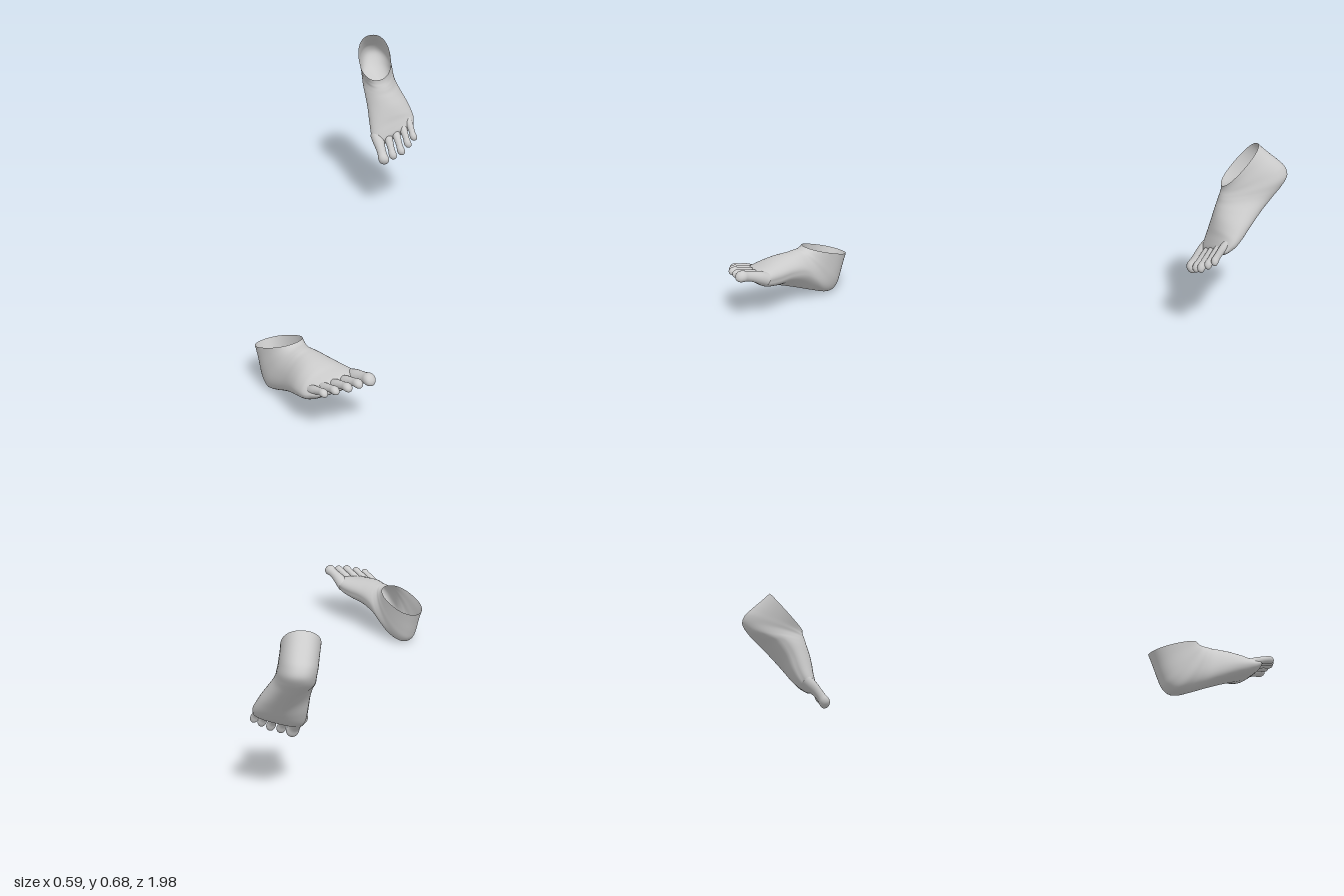
import * as THREE from 'three';

const material = new THREE.MeshStandardMaterial({ color: 0xcccccc, side: THREE.DoubleSide });

// Smooth skin over closed rings; point(s, angle) gives [x, y, z] for s from 0 to 1
function loft(point, rings, sides, mirror) {
  const pos = [], index = [];
  for (let i = 0; i <= rings; i++)
    for (let j = 0; j < sides; j++) {
      const [x, y, z] = point(i / rings, (j / sides) * Math.PI * 2);
      pos.push(x * mirror, y, z);
    }
  for (let i = 0; i < rings; i++)
    for (let j = 0; j < sides; j++) {
      const a = i * sides + j, b = i * sides + ((j + 1) % sides);
      const c = a + sides, d = b + sides;
      if (mirror > 0) index.push(a, c, b, b, c, d);
      else index.push(a, b, c, b, d, c);
    }
  const g = new THREE.BufferGeometry();
  g.setAttribute('position', new THREE.Float32BufferAttribute(pos, 3));
  g.setIndex(index);
  g.computeVertexNormals();
  return g;
}

// Smooth interpolation of all columns of a table of stations
function sample(table, s) {
  const n = table.length - 1, f = s * n, i = Math.min(Math.floor(f), n - 1), t = f - i;
  const row = (k) => table[Math.max(0, Math.min(n, k))];
  return table[0].map((_, c) => {
    const p0 = row(i - 1)[c], p1 = row(i)[c], p2 = row(i + 1)[c], p3 = row(i + 2)[c];
    return p1 + 0.5 * t * (p2 - p0 + t * (2 * p0 - 5 * p1 + 4 * p2 - p3 + t * (3 * (p1 - p2) + p3 - p0)));
  });
}

// Sections that swing from the ankle opening round the heel to the ball:
// sole z, sole y, instep z, instep y, half width, centre x, skew, arch
const sections = [
  [0.000, 0.163, 0.192, 0.163, 0.063, -0.006, 0, 0],
  [0.000, 0.120, 0.198, 0.158, 0.062, -0.005, 0, 0],
  [-0.002, 0.070, 0.206, 0.153, 0.062, -0.003, 0, 0],
  [0.000, 0.035, 0.214, 0.150, 0.062, -0.002, 0, 0],
  [0.018, 0.008, 0.222, 0.147, 0.062, 0.000, 0, 0],
  [0.060, 0.000, 0.232, 0.143, 0.063, 0.000, 0, 0],
  [0.110, 0.001, 0.245, 0.137, 0.066, 0.002, 0, 0.012],
  [0.170, 0.004, 0.265, 0.129, 0.072, 0.010, 0, 0.024],
  [0.240, 0.005, 0.295, 0.115, 0.080, 0.021, -0.05, 0.022],
  [0.300, 0.004, 0.325, 0.099, 0.086, 0.027, -0.15, 0.008],
  [0.342, 0.006, 0.350, 0.084, 0.088, 0.029, -0.28, 0],
  [0.370, 0.012, 0.372, 0.072, 0.084, 0.031, -0.36, 0],
  [0.390, 0.020, 0.390, 0.060, 0.076, 0.034, -0.40, 0],
  [0.397, 0.034, 0.397, 0.046, 0.062, 0.034, -0.40, 0],
  [0.398, 0.040, 0.398, 0.040, 0.045, 0.034, -0.40, 0],
];

function bodyPoint(s, angle) {
  const [pz, py, dz, dy, half, cx, skew, arch] = sample(sections, s);
  const power = (v) => Math.sign(v) * Math.abs(v) ** 0.9;
  const c = power(Math.cos(angle)), n = power(Math.sin(angle));
  const front = THREE.MathUtils.smoothstep(s, 0.35, 0.65);
  const t = 0.5 + 0.5 * c - 0.12 * front * n * n;
  const w = half * n;
  const crest = -0.018 * front * Math.max(0, c) * (half / 0.085);
  const lift = arch * Math.max(0, -n) * (1 - t) * 1.5;
  return [cx + w + crest, py + (dy - py) * t + lift, pz + (dz - pz) * t + skew * w];
}

// Toes from big to little: root x, root z, tip x, tip z, radius
const toes = [
  [-0.041, 0.375, -0.025, 0.480, 0.0205],
  [0.001, 0.375, 0.0125, 0.471, 0.0150],
  [0.033, 0.365, 0.048, 0.459, 0.0147],
  [0.064, 0.345, 0.079, 0.433, 0.0140],
  [0.091, 0.325, 0.106, 0.408, 0.0135],
];
// Toe profile: position along the toe, relative radius
const toeProfile = [
  [0, 1.2], [0.25, 1.12], [0.5, 0.93], [0.68, 0.9], [0.82, 1.03], [0.92, 0.9], [0.98, 0.5], [1, 0],
];

function toePoint([rx, rz, tx, tz, r], s, angle) {
  const [t, k] = sample(toeProfile, s);
  const radius = Math.max(0, k) * r;
  const bend = 0.006 * Math.sin(Math.PI * t);
  return [
    THREE.MathUtils.lerp(rx, tx, t) + radius * Math.sin(angle),
    0.041 - 0.004 * t + bend + radius * Math.cos(angle),
    THREE.MathUtils.lerp(rz, tz + r, t),
  ];
}

// A foot standing on its sole with toes to +z; mirror -1 makes the right one
function makeFoot(name, mirror) {
  const foot = new THREE.Group();
  foot.name = name;
  const add = (part, geometry) => {
    const mesh = new THREE.Mesh(geometry, material);
    mesh.name = part;
    foot.add(mesh);
  };
  add('footBody', loft(bodyPoint, 84, 56, mirror));
  toes.forEach((toe, i) =>
    add(['bigToe', 'secondToe', 'middleToe', 'fourthToe', 'littleToe'][i],
      loft((s, a) => toePoint(toe, s, a), 35, 24, mirror)));
  return foot;
}

// Turn a foot so its toes point along forward and its instep along up
function pose(foot, heel, forward, up) {
  const z = new THREE.Vector3(...forward).normalize();
  const x = new THREE.Vector3(...up).cross(z).normalize();
  const y = z.clone().cross(x);
  foot.quaternion.setFromRotationMatrix(new THREE.Matrix4().makeBasis(x, y, z));
  foot.position.set(...heel);
  return foot;
}

export function createModel() {
  const model = new THREE.Group();
  model.name = 'walkingFeet';
  // Rear foot pushing off, front foot landing on its heel
  model.add(pose(makeFoot('leftFoot', 1), [0.118, 0.572, -1.013], [0.142, -0.749, 0.648], [-0.02, 0.649, 0.755]));
  model.add(pose(makeFoot('rightFoot', -1), [-0.25, -0.013, 0.633], [0.645, 0.36, 0.675], [-0.238, 0.934, -0.271]));
  return model;
}
